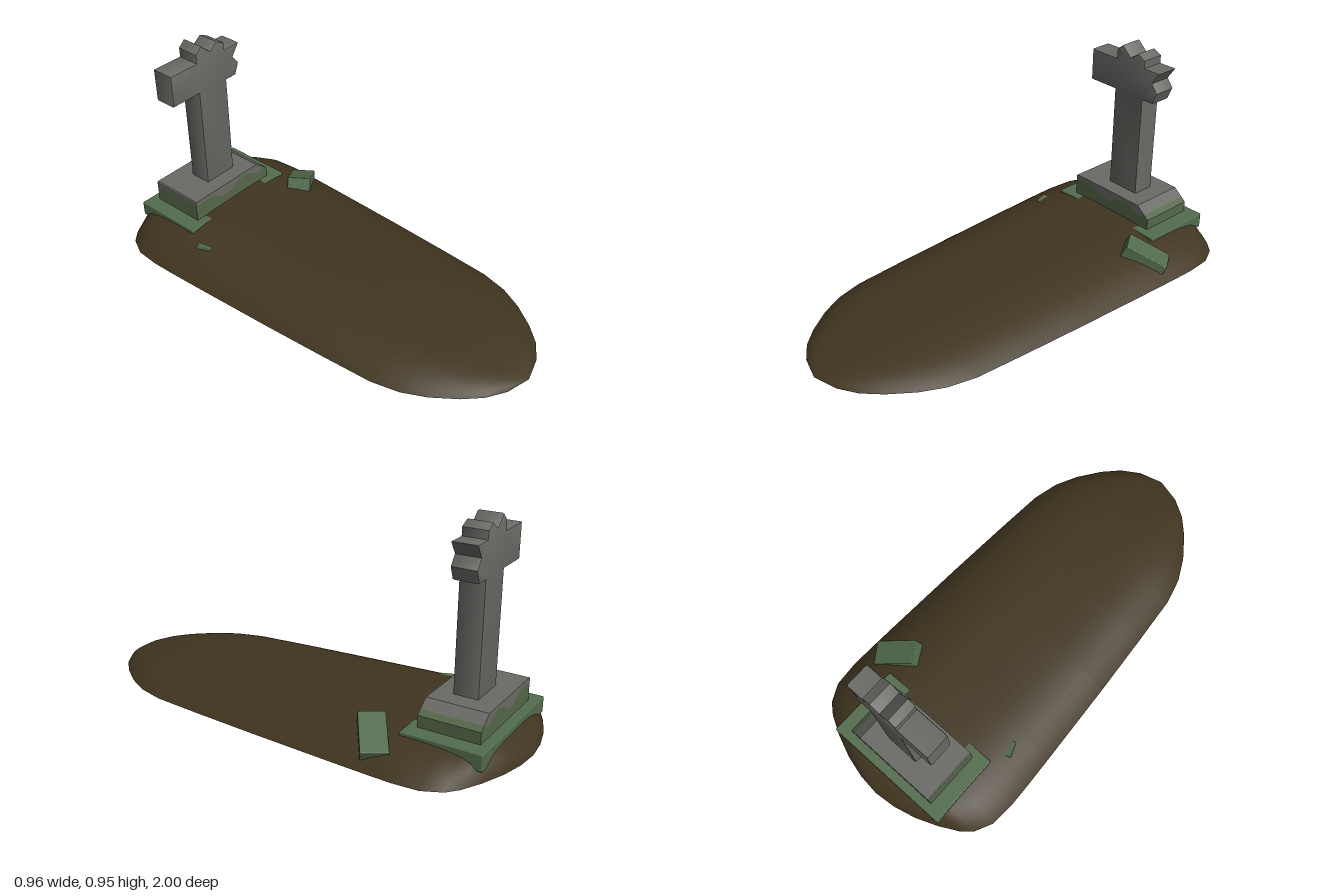
import * as THREE from 'three';
import { toCreasedNormals } from 'three/addons/utils/BufferGeometryUtils.js';
import { RoundedBoxGeometry } from 'three/addons/geometries/RoundedBoxGeometry.js';

function material(name, color, side = THREE.FrontSide) {
  const m = new THREE.MeshStandardMaterial({ color, side });
  m.name = name;
  return m;
}

// Stations along the mound: z, half width, crown height
const STATIONS = [
  [-1, 0, 0.045], [-0.99, 0.1, 0.067], [-0.965, 0.2, 0.095], [-0.925, 0.3, 0.127],
  [-0.88, 0.385, 0.141], [-0.84, 0.432, 0.148], [-0.76, 0.472, 0.154], [-0.65, 0.48, 0.158],
  [-0.55, 0.477, 0.157], [-0.4, 0.47, 0.152], [0, 0.448, 0.142], [0.3, 0.428, 0.134],
  [0.53, 0.41, 0.125], [0.65, 0.38, 0.117], [0.75, 0.33, 0.107], [0.85, 0.258, 0.093],
  [0.92, 0.19, 0.079], [0.97, 0.11, 0.064], [1, 0, 0.045],
];

function moundGeometry() {
  const rim = 0.045, steps = 28, pos = [], idx = [];
  STATIONS.forEach(([z, w, crown], i) => {
    for (let j = 0; j <= steps; j++) {
      const t = Math.sin((j / steps - 0.5) * Math.PI);
      pos.push(w * t, rim + (crown - rim) * (1 - t ** 4), z);
      if (i && j < steps) {
        const b = i * (steps + 1) + j, a = b - steps - 1;
        idx.push(a, b, a + 1, a + 1, b, b + 1);
      }
    }
  });
  const g = new THREE.BufferGeometry();
  g.setAttribute('position', new THREE.Float32BufferAttribute(pos, 3));
  g.setIndex(idx);
  g.computeVertexNormals();
  return g;
}

// Extrude an outline along z between two depths, with an optional small bevel
function slabFrom(points, z0, z1, bevel = 0) {
  const shape = new THREE.Shape(points.map(([x, y]) => new THREE.Vector2(x, y)));
  const g = new THREE.ExtrudeGeometry(shape, {
    depth: z1 - z0 - 2 * bevel, bevelEnabled: bevel > 0, bevelSize: bevel,
    bevelThickness: bevel, bevelOffset: -bevel, bevelSegments: 2,
  });
  g.translate(0, 0, z0 + bevel);
  return toCreasedNormals(g, 0.6);
}

export function createModel() {
  const group = new THREE.Group();
  const stone = material('grey stone', 0x6a6a66);
  const moss = material('moss', 0x55684a);
  const mossStone = material('mossy stone', 0x526c4d);
  const soil = material('soil', 0x40351f, THREE.DoubleSide);

  const add = (name, geometry, mat) => {
    const mesh = new THREE.Mesh(geometry, mat);
    mesh.name = name;
    group.add(mesh);
    return mesh;
  };

  add('earthMound', moundGeometry(), soil);

  // Footing slab sunk into the mound
  add('footingSlab', new RoundedBoxGeometry(0.6, 0.07, 0.34, 2, 0.005), mossStone)
    .position.set(0, 0.12, -0.75);

  // Chipped plinth, split along a wavy moss line
  const wave = [
    [-0.23, 0.235], [-0.15, 0.237], [-0.11, 0.228], [-0.07, 0.205], [-0.04, 0.2],
    [-0.01, 0.204], [0.03, 0.228], [0.075, 0.241], [0.12, 0.232], [0.165, 0.202],
    [0.185, 0.207], [0.208, 0.222],
  ];
  const z0 = -0.88, z1 = -0.62;
  add('plinthMoss', slabFrom(
    [[-0.23, 0.155], [0.23, 0.155], [0.23, 0.204], ...[...wave].reverse()], z0, z1), moss);
  add('plinthTop', slabFrom([...wave, [0.165, 0.255], [-0.225, 0.255], [-0.23, 0.25]], z0, z1), stone);

  // Cross with broken top and broken arm
  add('brokenCross', slabFrom([
    [-0.083, 0.253], [0.083, 0.253], [0.083, 0.73], [0.14, 0.73], [0.163, 0.785],
    [0.132, 0.825], [0.17, 0.88], [0.083, 0.88], [0.083, 0.915], [0.042, 0.936],
    [0, 0.906], [-0.05, 0.951], [-0.083, 0.922], [-0.083, 0.88], [-0.232, 0.88],
    [-0.232, 0.732], [-0.083, 0.732],
  ], -0.8, -0.692, 0.007), stone);

  // Fallen fragments: name, size, position, yaw, tilt
  const fragments = [
    ['largeFragment', [0.2, 0.12, 0.11], [0.33, 0.099, -0.485], 0.6, -0.43],
    ['leftFragment', [0.09, 0.095, 0.07], [-0.3, 0.083, -0.49], 0.35, -0.12],
    ['smallFragmentRight', [0.06, 0.06, 0.05], [0.12, 0.075, -0.41], 0.5, -0.25],
    ['smallFragmentLeft', [0.05, 0.06, 0.045], [-0.11, 0.072, -0.43], -0.4, 0.2],
  ];
  for (const [name, size, position, yaw, tilt] of fragments) {
    const mesh = add(name, new RoundedBoxGeometry(...size, 2, 0.004), mossStone);
    mesh.position.set(...position);
    mesh.rotation.set(0, yaw, tilt, 'YZX');
  }
  return group;
}
